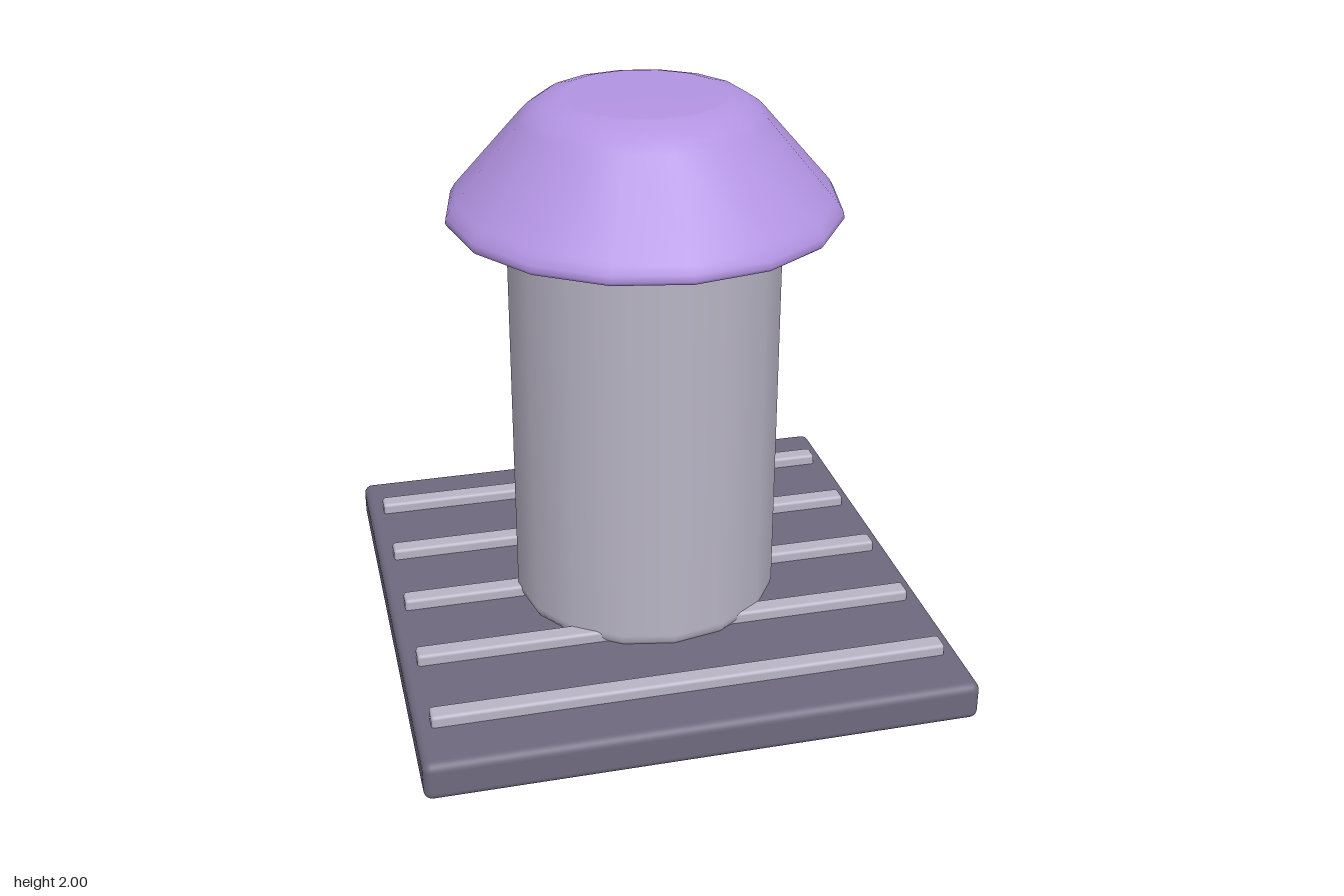
import * as THREE from 'three';
import { RoundedBoxGeometry } from 'three/addons/geometries/RoundedBoxGeometry.js';

const SIDES = 16;

function material(name, color) {
  const m = new THREE.MeshStandardMaterial({ color });
  m.name = name;
  return m;
}

function addMesh(group, name, geometry, mat, x = 0, y = 0, z = 0) {
  const mesh = new THREE.Mesh(geometry, mat);
  mesh.name = name;
  mesh.position.set(x, y, z);
  group.add(mesh);
}

// Turned solid from [radius, height] pairs, listed bottom to top
function turned(profile) {
  return new THREE.LatheGeometry(profile.map(([r, y]) => new THREE.Vector2(r, y)), SIDES);
}

export function createModel() {
  const model = new THREE.Group();
  model.name = 'bollard';
  const slate = material('dark slate', 0x6f697e);
  const steel = material('pale grey', 0xb9b5c6);
  const violet = material('violet', 0xb394e3);

  // Square base plate with softened edges
  addMesh(model, 'basePlate', new RoundedBoxGeometry(1.9, 0.14, 1.9, 3, 0.03), slate, 0, 0.07, 0);

  // Raised tread bars running from side to side
  const bar = new RoundedBoxGeometry(1.79, 0.06, 0.07, 2, 0.012);
  for (let i = -2; i <= 2; i++) addMesh(model, 'treadBar', bar, steel, 0, 0.15, i * 0.358);

  // Column with a small bevel at the foot
  addMesh(model, 'column', turned([
    [0, 0.135], [0.455, 0.135], [0.46, 0.14], [0.471, 0.155], [0.475, 0.18],
    [0.475, 1.57], [0.475, 1.6],
  ]), steel);

  // Flared cap: flat underside, thin lip, sloping side, rounded shoulder, flat top
  addMesh(model, 'cap', turned([
    [0, 1.588], [0.655, 1.588], [0.67, 1.59], [0.678, 1.602], [0.675, 1.622], [0.66, 1.648],
    [0.645, 1.666], [0.42, 1.926], [0.395, 1.952], [0.35, 1.982], [0.29, 1.998],
    [0.27, 2], [0, 2],
  ]), violet);

  return model;
}
